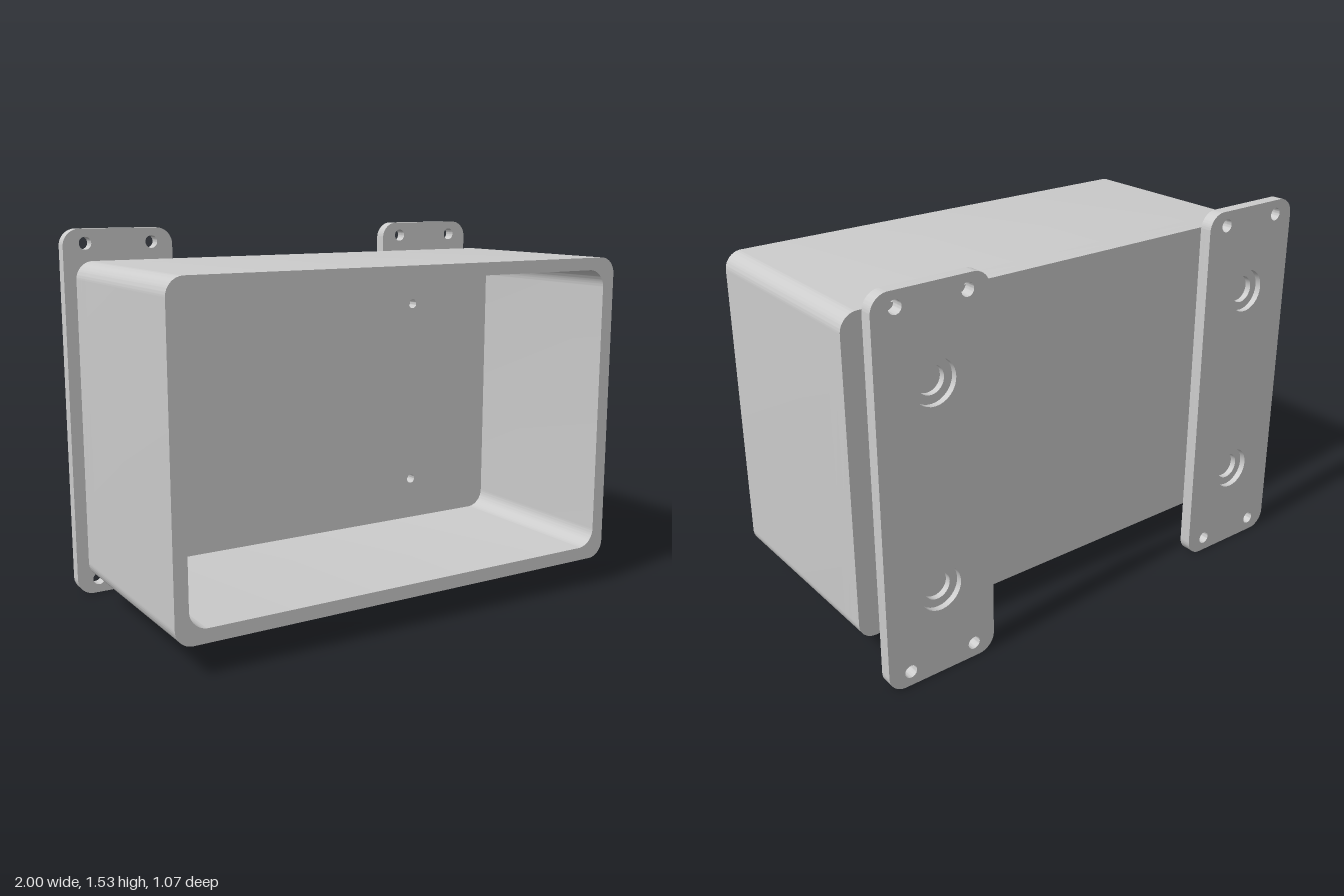
import * as THREE from 'three';
import { toCreasedNormals } from 'three/addons/utils/BufferGeometryUtils.js';

const material = new THREE.MeshStandardMaterial({ color: 0xcccccc });

// Rounded rectangle outline; works for shapes and holes.
function roundedRect(path, x0, y0, x1, y1, r) {
  path.moveTo(x0 + r, y0);
  path.lineTo(x1 - r, y0);
  path.absarc(x1 - r, y0 + r, r, -Math.PI / 2, 0);
  path.lineTo(x1, y1 - r);
  path.absarc(x1 - r, y1 - r, r, 0, Math.PI / 2);
  path.lineTo(x0 + r, y1);
  path.absarc(x0 + r, y1 - r, r, Math.PI / 2, Math.PI);
  path.lineTo(x0, y0 + r);
  path.absarc(x0 + r, y0 + r, r, Math.PI, Math.PI * 1.5);
  return path;
}

function addHole(shape, x, y, r) {
  shape.holes.push(new THREE.Path().absarc(x, y, r, 0, Math.PI * 2, true));
}

// Extrudes a shape between two z values, with smooth rounded corners.
function slab(name, shape, z0, z1) {
  const geometry = new THREE.ExtrudeGeometry(shape, {
    depth: z1 - z0, bevelEnabled: false, curveSegments: 16,
  });
  geometry.translate(0, 0, z0);
  const mesh = new THREE.Mesh(toCreasedNormals(geometry, 0.6), material);
  mesh.name = name;
  return mesh;
}

const boltHeights = [0.36, 1.175];

function createBox() {
  const box = new THREE.Group();
  box.name = 'box';
  const outline = () => roundedRect(new THREE.Shape(), -1, 0.12, 1, 1.41, 0.07);

  // Side walls around the open front
  const walls = outline();
  walls.holes.push(roundedRect(new THREE.Path(), -0.945, 0.175, 0.945, 1.36, 0.075));
  box.add(slab('walls', walls, -0.235, 0.535));

  // Back wall in two layers, so the small holes inside are blind
  const inner = outline();
  for (const y of boltHeights) addHole(inner, 0.527, y, 0.02);
  box.add(slab('backWallInside', inner, -0.285, -0.235));
  box.add(slab('backWallOutside', outline(), -0.335, -0.285));
  return box;
}

function createMountingPlate(side) {
  const plate = new THREE.Group();
  plate.name = side > 0 ? 'leftMountingPlate' : 'rightMountingPlate';

  // One layer of the plate, with corner screw holes and bolt holes
  const layer = (boltRadius) => {
    const shape = roundedRect(new THREE.Shape(), -0.235, 0, 0.235, 1.53, 0.07);
    for (const x of [-0.142, 0.142]) {
      for (const y of [0.06, 1.472]) addHole(shape, x, y, 0.026);
    }
    for (const y of boltHeights) addHole(shape, 0, y, boltRadius);
    return shape;
  };
  // Wide counterbores at the back, narrow through holes at the front
  plate.add(slab('counterboreLayer', layer(0.088), -0.535, -0.51));
  plate.add(slab('boltHoleLayer', layer(0.055), -0.51, -0.485));
  plate.position.x = side * 0.765;
  return plate;
}

export function createModel() {
  const model = new THREE.Group();
  model.name = 'wallBox';
  model.add(createBox(), createMountingPlate(1), createMountingPlate(-1));
  return model;
}
